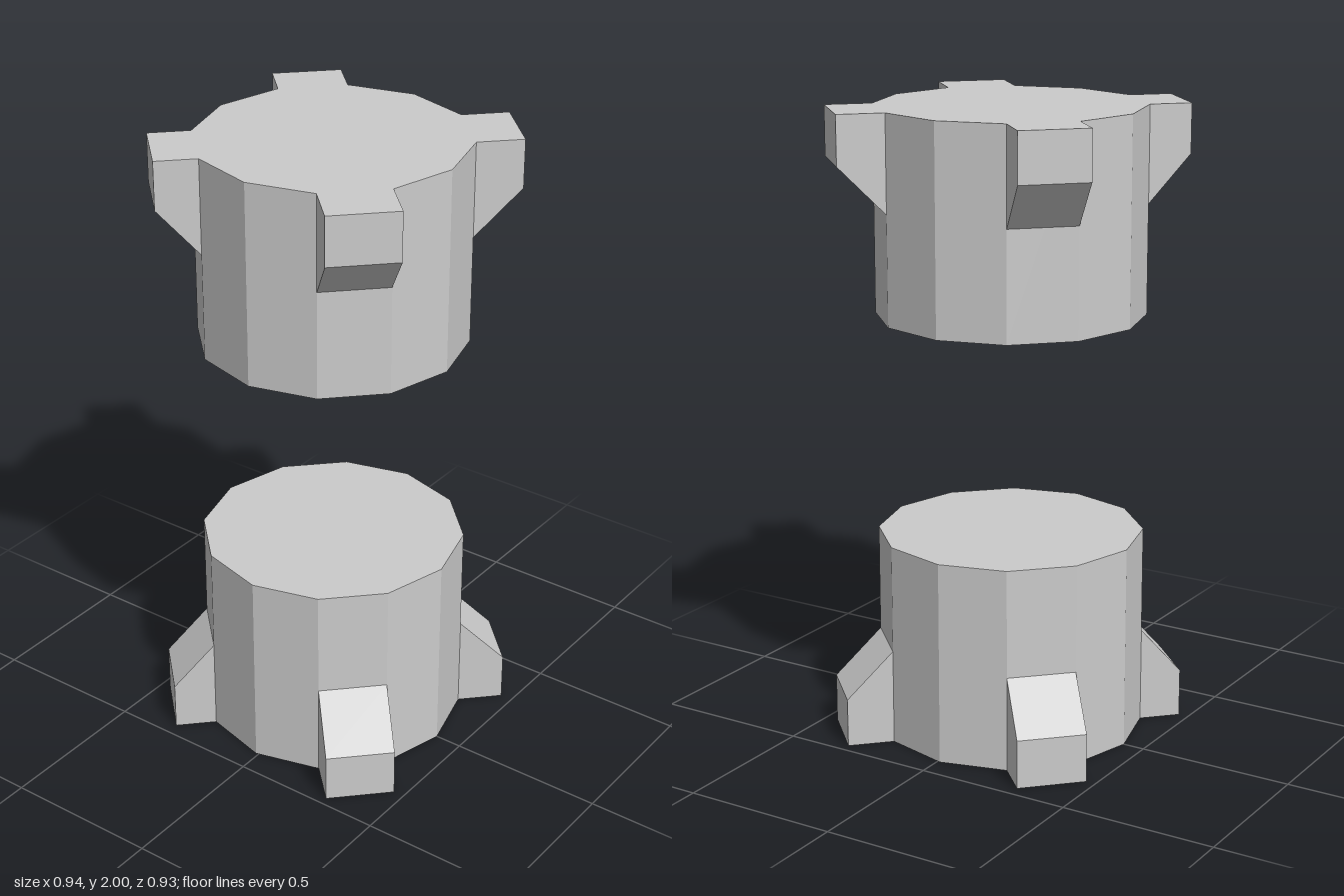
import * as THREE from 'three';

const RADIUS = 0.421, SIDES = 12, HEIGHT = 0.65;
const APOTHEM = RADIUS * Math.cos(Math.PI / SIDES);
const LUG_WIDTH = 2 * RADIUS * Math.sin(Math.PI / SIDES);
const LUG_REACH = [0.541, 0.539, 0.561, 0.554]; // back left, back right, front right, front left

const material = new THREE.MeshStandardMaterial({ color: 0xcccccc, flatShading: true });

// One cap: a twelve-sided drum with four sloped lugs at its outer end.
// dir = 1 builds upward from the outer face, dir = -1 downward.
function createCap(name, outerY, dir) {
  const cap = new THREE.Group();
  cap.name = name;
  cap.position.set(0, outerY, -0.009);

  const drum = new THREE.Mesh(new THREE.CylinderGeometry(RADIUS, RADIUS, HEIGHT, SIDES), material);
  drum.name = 'drum';
  drum.position.y = dir * HEIGHT / 2;
  cap.add(drum);

  LUG_REACH.forEach((reach, i) => {
    // Side profile of the lug, as wide as one drum facet
    const profile = new THREE.Shape([
      [APOTHEM, 0], [reach, 0], [reach, 0.155], [APOTHEM, 0.305],
    ].map(([r, y]) => new THREE.Vector2(r, dir * y)));
    const geometry = new THREE.ExtrudeGeometry(profile, { depth: LUG_WIDTH, bevelEnabled: false });
    geometry.translate(0, 0, -LUG_WIDTH / 2);
    const lug = new THREE.Mesh(geometry, material);
    lug.name = 'lug';
    lug.rotation.y = Math.PI / 4 + i * Math.PI / 2;
    cap.add(lug);
  });
  return cap;
}

export function createModel() {
  const model = new THREE.Group();
  model.name = 'luggedCaps';
  model.add(createCap('lowerCap', 0, 1), createCap('upperCap', 2, -1));
  return model;
}
